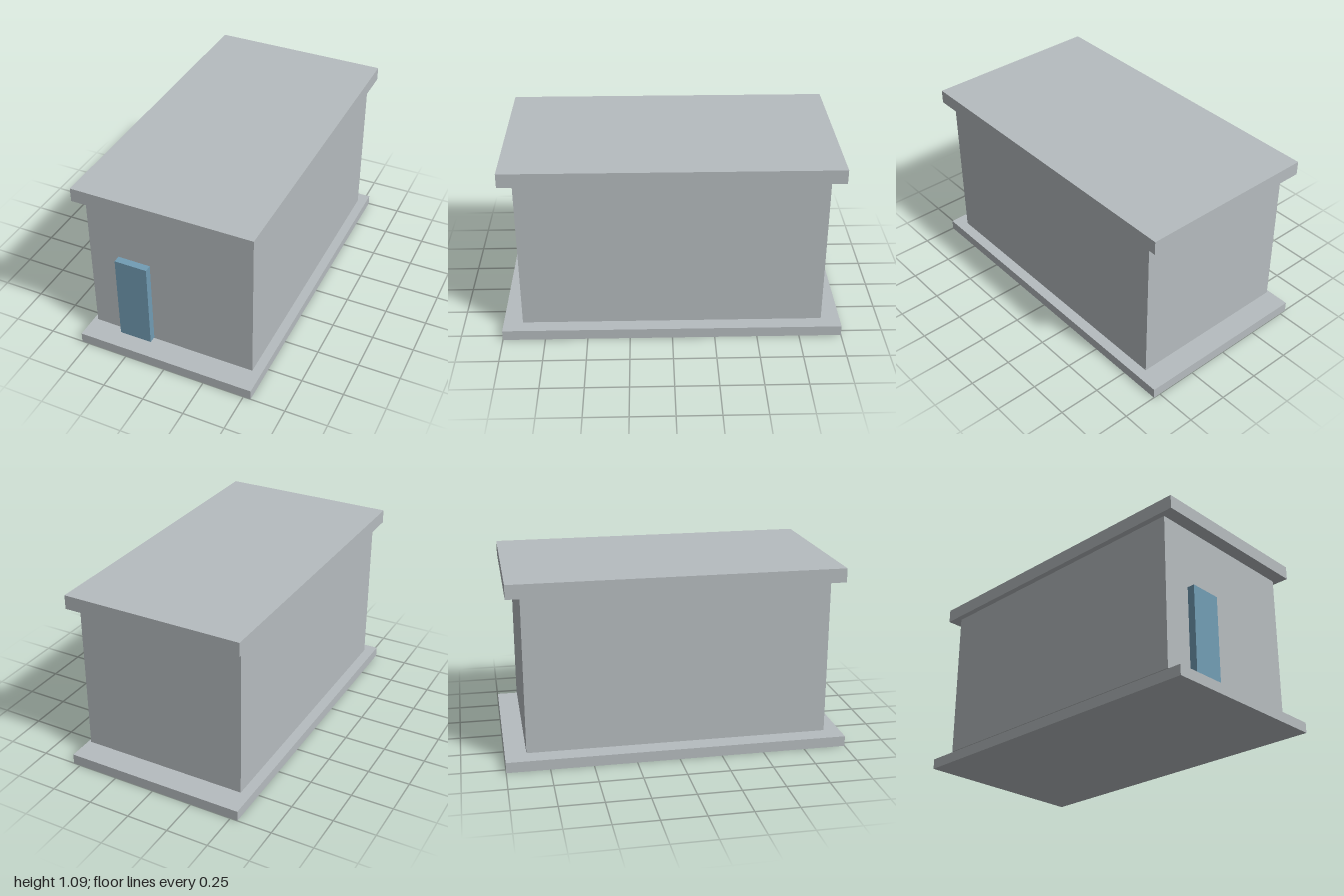
import * as THREE from 'three';

export function createModel() {
  const concrete = new THREE.MeshStandardMaterial({ color: 0xb6bcbf });
  concrete.name = 'concrete grey';
  const paint = new THREE.MeshStandardMaterial({ color: 0x729db4 });
  paint.name = 'door blue';

  const model = new THREE.Group();
  model.name = 'building';

  // Box given by its limits on each axis
  function addBox(name, material, [x0, x1], [y0, y1], [z0, z1]) {
    const mesh = new THREE.Mesh(new THREE.BoxGeometry(x1 - x0, y1 - y0, z1 - z0), material);
    mesh.position.set((x0 + x1) / 2, (y0 + y1) / 2, (z0 + z1) / 2);
    mesh.name = name;
    model.add(mesh);
  }

  // Ground slab, with a narrow gap below the walls
  addBox('baseSlab', concrete, [-0.544, 0.544], [0, 0.062], [-1, 1]);
  addBox('walls', concrete, [-0.5, 0.5], [0.093, 1.008], [-0.88, 0.88]);
  // Overhanging flat roof
  addBox('roof', concrete, [-0.535, 0.535], [1.008, 1.09], [-0.96, 0.96]);
  // Door standing proud of the front wall
  addBox('door', paint, [-0.319, -0.122], [0.099, 0.636], [0.88, 0.924]);

  return model;
}
